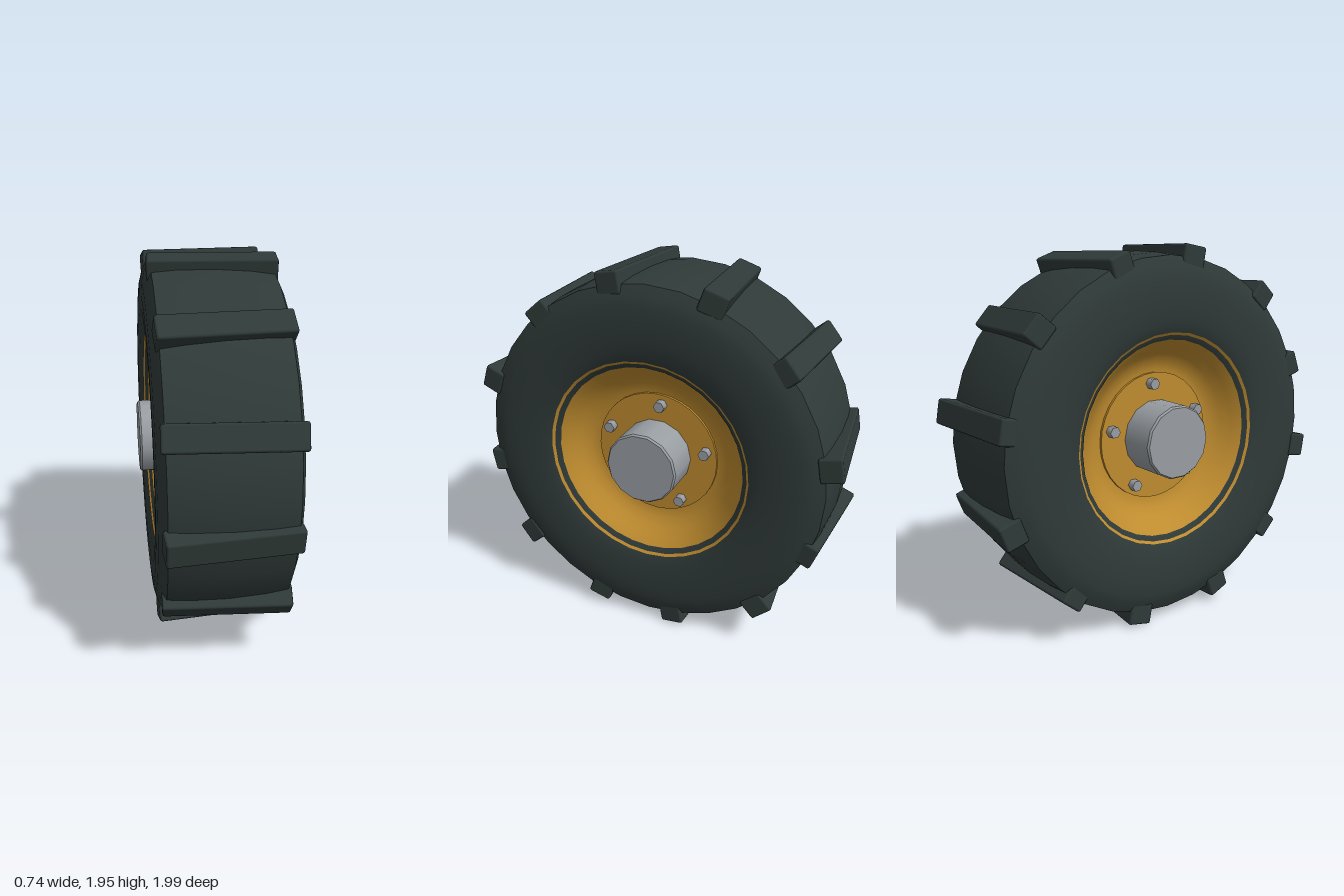
import * as THREE from 'three';
import { RoundedBoxGeometry } from 'three/addons/geometries/RoundedBoxGeometry.js';

const SEGMENTS = 32;
const rubber = new THREE.MeshStandardMaterial({ name: 'dark rubber', color: 0x2f3a38 });
const ochre = new THREE.MeshStandardMaterial({ name: 'ochre rim paint', color: 0xbf8c2f });
const steel = new THREE.MeshStandardMaterial({ name: 'grey steel', color: 0x999ea3 });

function mesh(name, geometry, material) {
  const m = new THREE.Mesh(geometry, material);
  m.name = name;
  return m;
}

// Surface of revolution about the x axis from [radius, x] pairs
function revolve(profile) {
  const points = profile.map(([r, x]) => new THREE.Vector2(r, x));
  return new THREE.LatheGeometry(points, SEGMENTS).rotateZ(-Math.PI / 2);
}

// Cylinder along x from x0 to x1
function axle(r0, r1, x0, x1, sides) {
  return new THREE.CylinderGeometry(r1, r0, x1 - x0, sides)
    .rotateZ(-Math.PI / 2).translate((x0 + x1) / 2, 0, 0);
}

// One face of the wheel, modelled towards +x and turned round for the other side
function createSide(s) {
  const side = new THREE.Group();
  side.name = s > 0 ? 'leftFace' : 'rightFace';
  if (s < 0) side.rotation.y = Math.PI;

  side.add(mesh('sidewall', revolve([
    [0.92, 0.292], [0.87, 0.316], [0.82, 0.329], [0.75, 0.334],
    [0.67, 0.332], [0.6, 0.323], [0.545, 0.308], [0.51, 0.285],
  ]), rubber));

  side.add(mesh('rimBowl', revolve([
    [0.548, 0.311], [0.51, 0.283], [0.47, 0.242], [0.43, 0.2],
    [0.39, 0.172], [0.35, 0.158], [0.3, 0.153], [0.1, 0.153],
  ]), ochre));

  side.add(mesh('hubPlate', axle(0.333, 0.333, 0.13, 0.17, SEGMENTS), ochre));
  side.add(mesh('hub', axle(0.19, 0.19, 0, 0.36, 14), steel));
  side.add(mesh('hubBevel', axle(0.19, 0.182, 0.36, 0.37, 14), steel));

  // Wheel bolts, mirrored between the two faces
  for (let i = 0; i < 5; i++) {
    const a = THREE.MathUtils.degToRad(6 + 72 * i);
    const bolt = mesh('bolt', axle(0.03, 0.03, 0.16, 0.212, 6), steel);
    bolt.position.set(0, 0.28 * Math.cos(a), -s * 0.28 * Math.sin(a));
    side.add(bolt);
  }
  return side;
}

export function createModel() {
  const wheel = new THREE.Group();
  wheel.name = 'wheel';

  // Slightly crowned tread band
  wheel.add(mesh('tread', revolve([
    [0.92, -0.292], [0.933, -0.18], [0.94, 0], [0.933, 0.18], [0.92, 0.292],
  ]), rubber));

  wheel.add(createSide(1), createSide(-1));

  // Tread lugs, yawed alternately
  const lugGeometry = new RoundedBoxGeometry(0.625, 0.115, 0.128, 1, 0.012);
  for (let i = 0; i < 12; i++) {
    const a = THREE.MathUtils.degToRad(10 + 30 * i);
    const lug = mesh('lug', lugGeometry, rubber);
    lug.position.set(0, 0.922 * Math.cos(a), 0.922 * Math.sin(a));
    lug.rotation.set(a, i % 2 ? 0.08 : -0.08, 0, 'YXZ');
    wheel.add(lug);
  }

  wheel.position.y = 0.976;
  const model = new THREE.Group();
  model.name = 'treadedWheel';
  model.add(wheel);
  return model;
}
